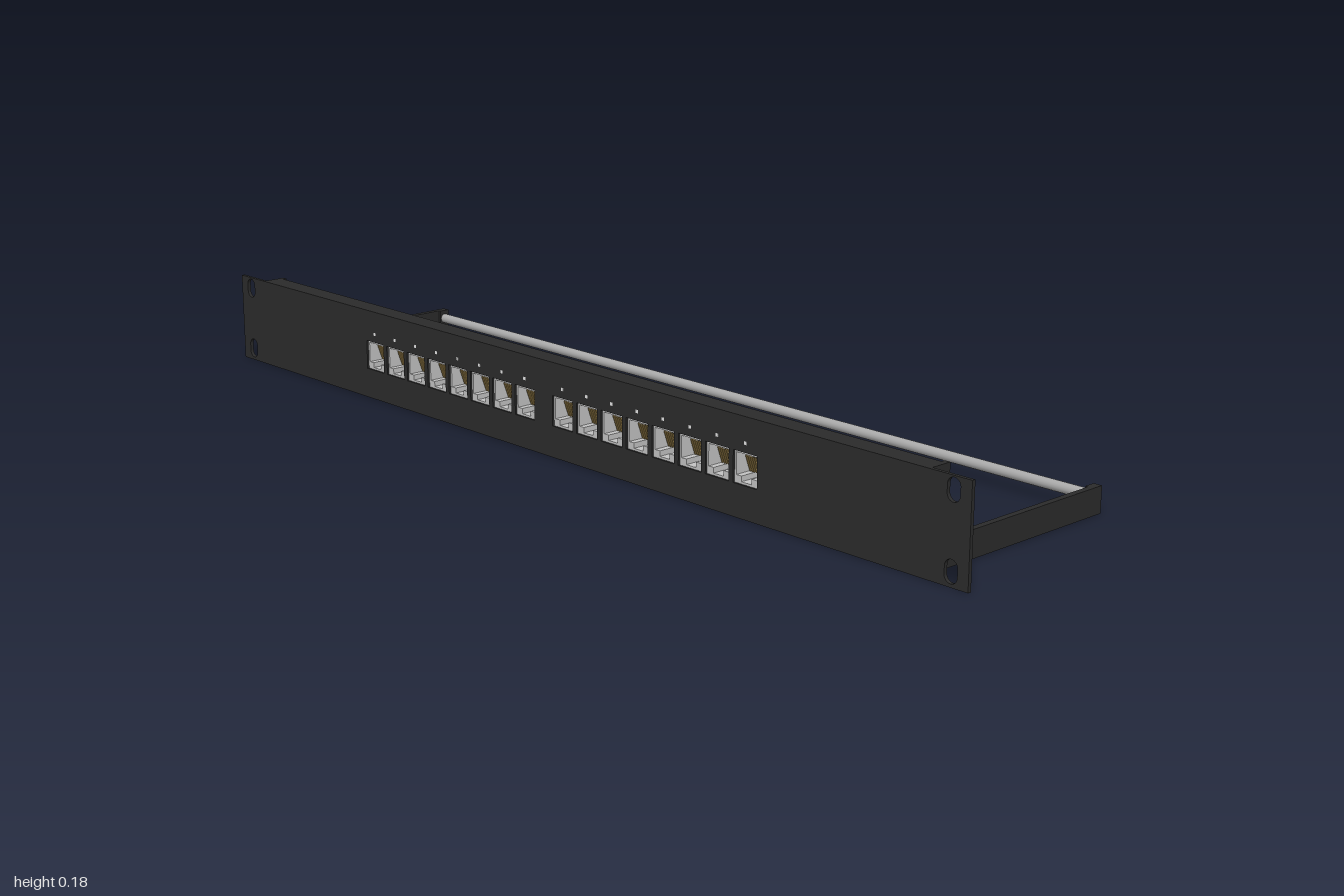
import * as THREE from 'three';

const paint = (name, color) => {
  const m = new THREE.MeshStandardMaterial({ color });
  m.name = name;
  return m;
};

export function createModel() {
  const black = paint('blackSteel', 0x2b2b2b);
  const dark = paint('darkCavity', 0x191919);
  const grey = paint('lightPlastic', 0xc4c4c4);
  const steel = paint('steelBar', 0xa9a9a9);
  const gold = paint('goldContact', 0xb39656);
  const white = paint('whiteMark', 0xe8e8e8);

  const model = new THREE.Group();
  model.name = 'patchPanel';

  const add = (parent, name, geometry, material) => {
    const mesh = new THREE.Mesh(geometry, material);
    mesh.name = name;
    parent.add(mesh);
    return mesh;
  };
  // Box given by its limits on each axis
  const box = (parent, name, material, x0, x1, y0, y1, z0, z1) => {
    const mesh = add(parent, name, new THREE.BoxGeometry(x1 - x0, y1 - y0, z1 - z0), material);
    mesh.position.set((x0 + x1) / 2, (y0 + y1) / 2, (z0 + z1) / 2);
    return mesh;
  };
  const rect = (Type, x0, x1, y0, y1) => new Type()
    .moveTo(x0, y0).lineTo(x1, y0).lineTo(x1, y1).lineTo(x0, y1).closePath();
  const extrude = (shape, depth) =>
    new THREE.ExtrudeGeometry(shape, { depth, bevelEnabled: false, curveSegments: 10 });

  // Sixteen port centres in two groups of eight
  const ports = [];
  for (const start of [-0.521, 0.053]) {
    for (let i = 0; i < 8; i++) ports.push(start + i * 0.0667);
  }

  // Front plate with mounting slots and port openings
  const plate = rect(THREE.Shape, -1, 1, 0, 0.181);
  for (const x of [-0.965, 0.965]) {
    for (const y of [0.026, 0.158]) {
      const slot = new THREE.Path();
      slot.absarc(x, y + 0.007, 0.013, 0, Math.PI, false);
      slot.absarc(x, y - 0.007, 0.013, Math.PI, Math.PI * 2, false);
      slot.closePath();
      plate.holes.push(slot);
    }
  }
  for (const x of ports) plate.holes.push(rect(THREE.Path, x - 0.028, x + 0.028, 0.06, 0.118));
  add(model, 'frontPlate', extrude(plate, 0.007), black).position.z = 0.228;

  // Folded edges behind the plate
  box(model, 'topFlange', black, -0.91, 0.91, 0.174, 0.181, 0.193, 0.228);
  box(model, 'bottomFlange', black, -0.91, 0.91, 0, 0.007, 0.193, 0.228);

  // Side lips, support arms and their end tabs
  for (const side of [-1, 1]) {
    const span = (name, a, b, ...rest) =>
      box(model, name, black, Math.min(side * a, side * b), Math.max(side * a, side * b), ...rest);
    span('sideLip', 0.905, 0.916, 0, 0.181, 0.185, 0.228);
    span('supportArm', 0.893, 0.905, 0, 0.05, -0.235, 0.228);
    span('armEndTab', 0.888, 0.893, 0.012, 0.05, -0.235, -0.212);
  }

  // Rear cable bar
  const bar = add(model, 'cableBar', new THREE.CylinderGeometry(0.01, 0.01, 1.786, 16), steel);
  bar.rotation.z = Math.PI / 2;
  bar.position.set(0, 0.032, -0.224);

  // Socket face with a stepped mouth
  const face = rect(THREE.Shape, -0.028, 0.028, 0.06, 0.118);
  const mouth = [[-0.024, 0.074], [-0.012, 0.074], [-0.012, 0.064], [0.012, 0.064],
    [0.012, 0.074], [0.024, 0.074], [0.024, 0.114], [-0.024, 0.114]];
  face.holes.push(new THREE.Path(mouth.map(([x, y]) => new THREE.Vector2(x, y))));
  const faceGeometry = extrude(face, 0.056);

  // Rear connector block with rounded rear corners, seen from above
  const block = new THREE.Shape()
    .moveTo(-0.0295, -0.112).lineTo(0.0295, -0.112).lineTo(0.0295, -0.06)
    .quadraticCurveTo(0.0295, -0.052, 0.0225, -0.052).lineTo(-0.0225, -0.052)
    .quadraticCurveTo(-0.0295, -0.052, -0.0295, -0.06).closePath();
  const blockGeometry = extrude(block, 0.055).rotateX(-Math.PI / 2);

  ports.forEach((x, index) => {
    const jack = new THREE.Group();
    jack.name = 'jack' + (index + 1);
    jack.position.x = x;
    model.add(jack);

    add(jack, 'socketFace', faceGeometry, grey).position.z = 0.175;
    box(jack, 'socketBack', dark, -0.025, 0.025, 0.062, 0.116, 0.174, 0.192);
    box(jack, 'jackBody', black, -0.0295, 0.0295, 0.065, 0.12, 0.112, 0.174);
    add(jack, 'connectorBlock', blockGeometry, grey).position.y = 0.065;

    // Contacts inside the mouth
    for (let i = 0; i < 8; i++) {
      const px = -0.0175 + i * 0.005;
      const pin = box(jack, 'contact', gold, px - 0.0013, px + 0.0013, 0.075, 0.107, 0.208, 0.21);
      pin.rotation.x = 0.35;
    }
    // Wire slots along the rear and underside
    for (let i = 0; i < 4; i++) {
      const sx = -0.018 + i * 0.012;
      box(jack, 'rearSlot', dark, sx - 0.0018, sx + 0.0018, 0.065, 0.107, 0.0512, 0.0535);
      box(jack, 'undersideSlot', dark, sx - 0.0018, sx + 0.0018, 0.0643, 0.0655, 0.0512, 0.106);
    }
    // Small printed tick above each port
    box(model, 'portMark', white, x - 0.003, x + 0.003, 0.132, 0.138, 0.2345, 0.2355);
  });

  return model;
}
